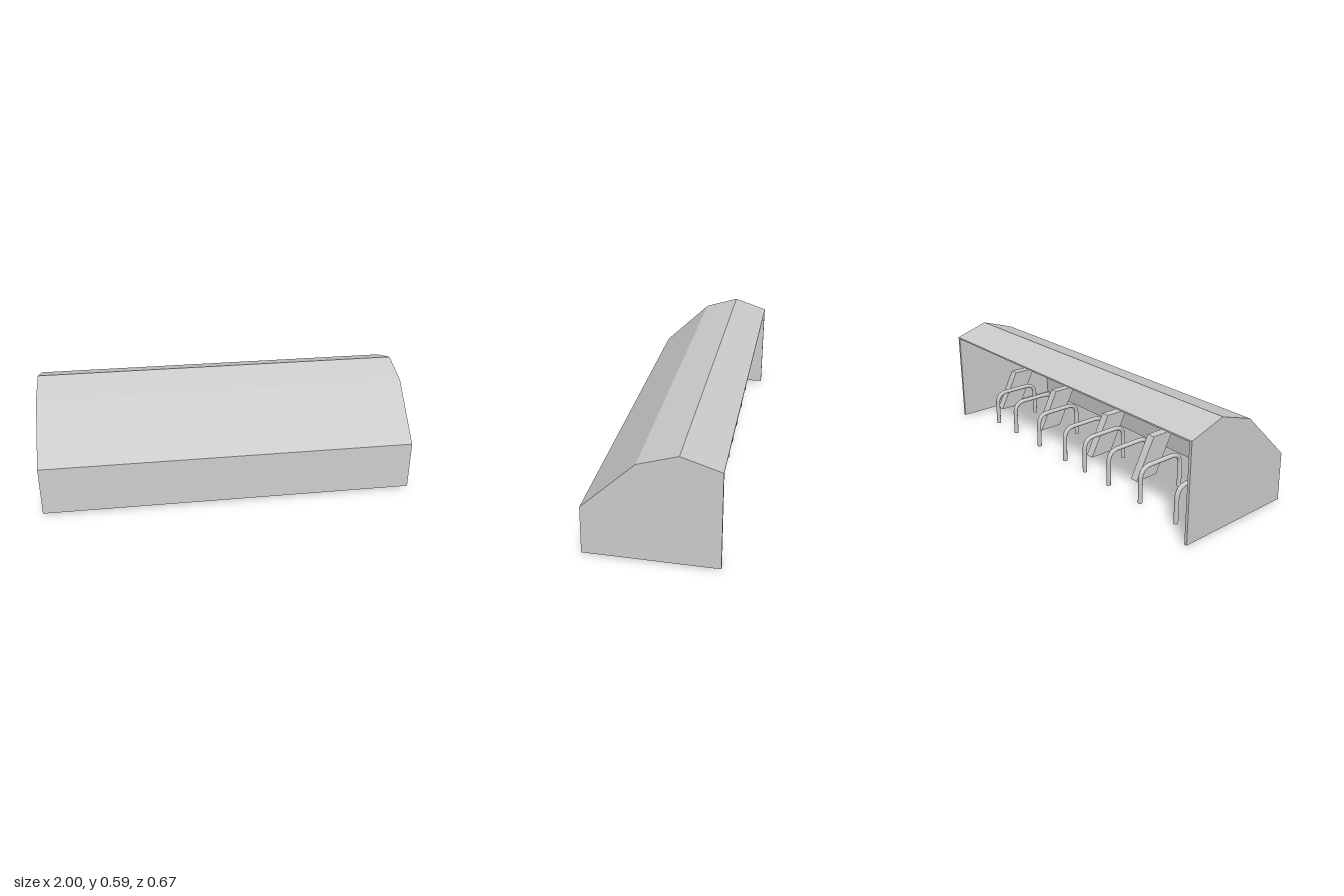
import * as THREE from 'three';

const material = new THREE.MeshStandardMaterial({ color: 0xcccccc });

// Extrudes a (z, y) outline along x, centred on the given x.
function sidePrism(name, points, width, x) {
  const shape = new THREE.Shape(points.map(([z, y]) => new THREE.Vector2(z, y)));
  const geometry = new THREE.ExtrudeGeometry(shape, { depth: width, bevelEnabled: false });
  geometry.translate(0, 0, -width / 2);
  geometry.rotateY(-Math.PI / 2);
  const mesh = new THREE.Mesh(geometry, material);
  mesh.name = name;
  mesh.position.x = x;
  return mesh;
}

// Upside-down U of round tube with rounded corners, feet capped.
function createHoop(x) {
  const back = -0.233, front = 0.044, foot = 0.01, top = 0.205, bend = 0.065, radius = 0.012;
  const v = (z, y) => new THREE.Vector3(0, y, z);
  const path = new THREE.CurvePath();
  path.add(new THREE.LineCurve3(v(back, foot), v(back, top - bend)));
  path.add(new THREE.QuadraticBezierCurve3(v(back, top - bend), v(back, top), v(back + bend, top)));
  path.add(new THREE.LineCurve3(v(back + bend, top), v(front - bend, top)));
  path.add(new THREE.QuadraticBezierCurve3(v(front - bend, top), v(front, top), v(front, top - bend)));
  path.add(new THREE.LineCurve3(v(front, top - bend), v(front, foot)));

  const hoop = new THREE.Group();
  hoop.name = 'bikeHoop';
  const tube = new THREE.Mesh(new THREE.TubeGeometry(path, 48, radius, 12), material);
  tube.name = 'hoopTube';
  hoop.add(tube);
  for (const z of [back, front]) {
    const cap = new THREE.Mesh(new THREE.CircleGeometry(radius, 12), material);
    cap.name = 'hoopFoot';
    cap.rotation.x = Math.PI / 2;
    cap.position.set(0, foot, z);
    hoop.add(cap);
  }
  hoop.position.x = x;
  return hoop;
}

export function createModel() {
  const model = new THREE.Group();
  model.name = 'bikeShelter';

  // Folded front wall and roof, open at the back and below
  const outer = [[0.333, 0.01], [0.323, 0.272], [0.052, 0.532], [-0.142, 0.594], [-0.333, 0.532]];
  const inner = [[0.325, 0.01], [0.315, 0.269], [0.049, 0.524], [-0.142, 0.586], [-0.333, 0.524]];
  const panel = 0.015;
  model.add(sidePrism('roofAndFrontWall', [...outer, ...inner.reverse()], 2 - 2 * panel, 0));

  // Solid end walls
  for (const side of [-1, 1]) {
    model.add(sidePrism('endWall', [...outer, [-0.333, 0.01]], panel, side * (1 - panel / 2)));
  }

  // Boards leaning towards the front
  const board = [[-0.083, 0], [0.058, 0], [0.176, 0.23], [0.035, 0.23]];
  for (const x of [-0.965, -0.369, 0.011, 0.508, 0.957]) {
    model.add(sidePrism('leaningBoard', board, 0.047, x));
  }

  // Bike hoops
  for (const x of [-0.832, -0.58, -0.335, -0.135, 0.043, 0.293, 0.539, 0.738]) {
    model.add(createHoop(x));
  }
  return model;
}
